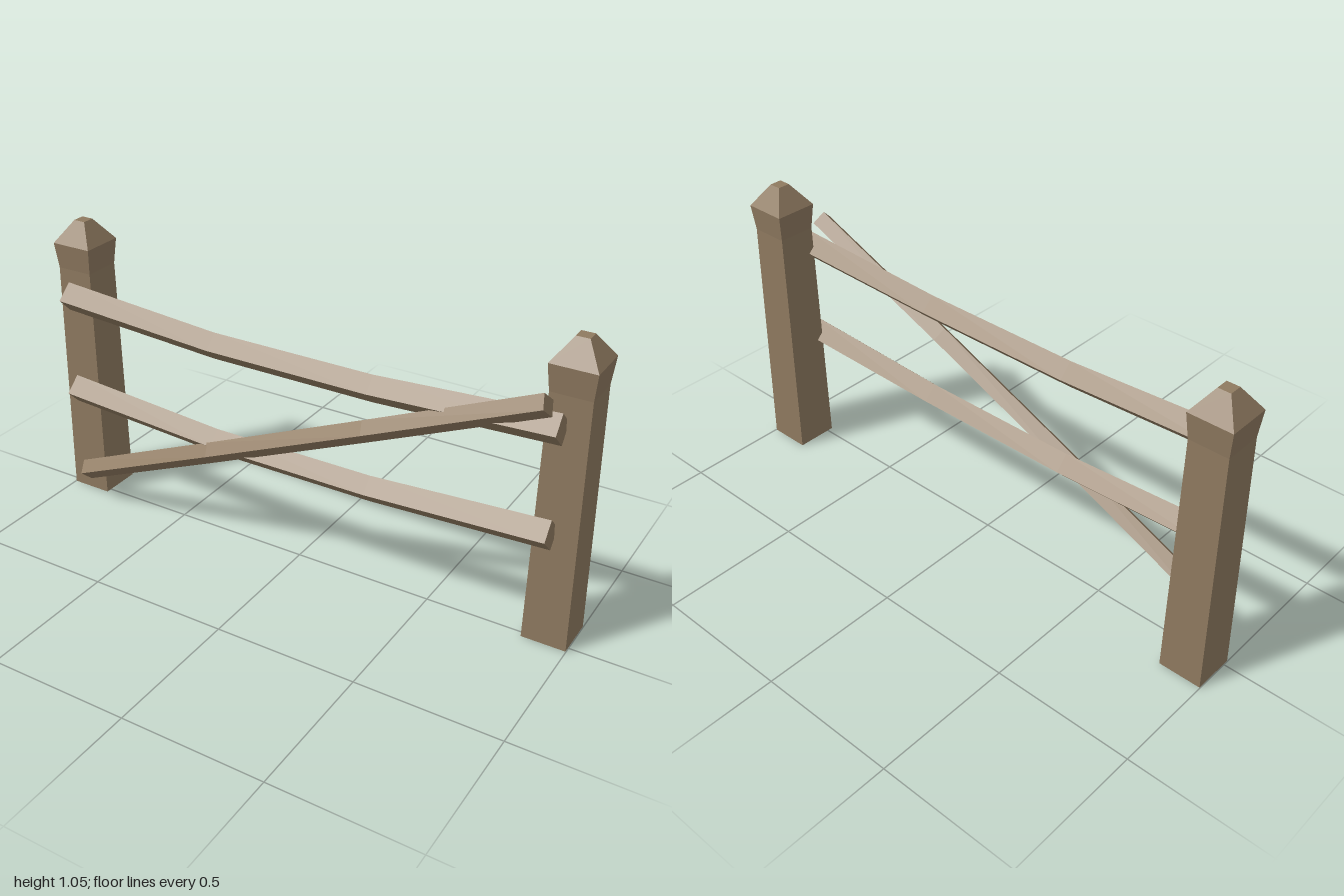
import * as THREE from 'three';

const wood = new THREE.MeshStandardMaterial({ color: 0x8f7a60 });
wood.name = 'weathered wood';

// Closed faceted solid through a row of four-cornered rings (counterclockwise seen from the far end)
function loft(name, rings) {
  const pos = [];
  const quad = (a, b, c, d) => [a, b, c, a, c, d].forEach((p) => pos.push(p.x, p.y, p.z));
  for (let r = 0; r < rings.length - 1; r++) {
    const a = rings[r], b = rings[r + 1];
    for (let i = 0; i < 4; i++) {
      const j = (i + 1) % 4;
      quad(a[i], a[j], b[j], b[i]);
    }
  }
  const first = rings[0], last = rings[rings.length - 1];
  quad(first[3], first[2], first[1], first[0]);
  quad(last[0], last[1], last[2], last[3]);
  const geo = new THREE.BufferGeometry();
  geo.setAttribute('position', new THREE.Float32BufferAttribute(pos, 3));
  geo.computeVertexNormals();
  const mesh = new THREE.Mesh(geo, wood);
  mesh.name = name;
  return mesh;
}

// Square post: slight taper, flared collar and blunt pyramid cap
function post(name, x) {
  const profile = [[0, 0.076], [0.88, 0.068], [0.972, 0.077], [1.05, 0.022]];
  const mesh = loft(name, profile.map(([y, h]) =>
    [[1, 1], [1, -1], [-1, -1], [-1, 1]].map(([sx, sz]) => new THREE.Vector3(sx * h, y, sz * h))));
  mesh.position.set(x, 0, -0.055);
  return mesh;
}

// Bar with a diamond section following points [x, y, z, half size]
function bar(name, points) {
  const rings = points.map(([x, y, z, h], i) => {
    const p = points[Math.max(i - 1, 0)], n = points[Math.min(i + 1, points.length - 1)];
    const up = new THREE.Vector3(p[1] - n[1], n[0] - p[0], 0).normalize();
    const out = new THREE.Vector3(0, 0, 1);
    const c = new THREE.Vector3(x, y, z);
    return [[up, h], [out, h], [up, -h], [out, -h]].map(([d, s]) => c.clone().addScaledVector(d, s));
  });
  return loft(name, rings);
}

export function createModel() {
  const fence = new THREE.Group();
  fence.name = 'fence';
  fence.add(post('leftPost', 0.922), post('rightPost', -0.922));

  // Two sagging rails
  [['lowerRail', 0], ['upperRail', 0.363]].forEach(([name, dy]) => {
    fence.add(bar(name, [
      [-0.927, 0.432 + dy, 0.045, 0.053],
      [-0.3, 0.395 + dy, 0.052, 0.048],
      [0.3, 0.395 + dy, 0.052, 0.048],
      [0.918, 0.423 + dy, 0.045, 0.053],
    ]));
  });

  // Diagonal brace across the front, bowed slightly outward
  fence.add(bar('brace', [
    [-0.877, 0.122, 0.085, 0.038],
    [-0.3, 0.369, 0.093, 0.038],
    [0.3, 0.626, 0.093, 0.038],
    [0.882, 0.875, 0.085, 0.038],
  ]));
  return fence;
}
